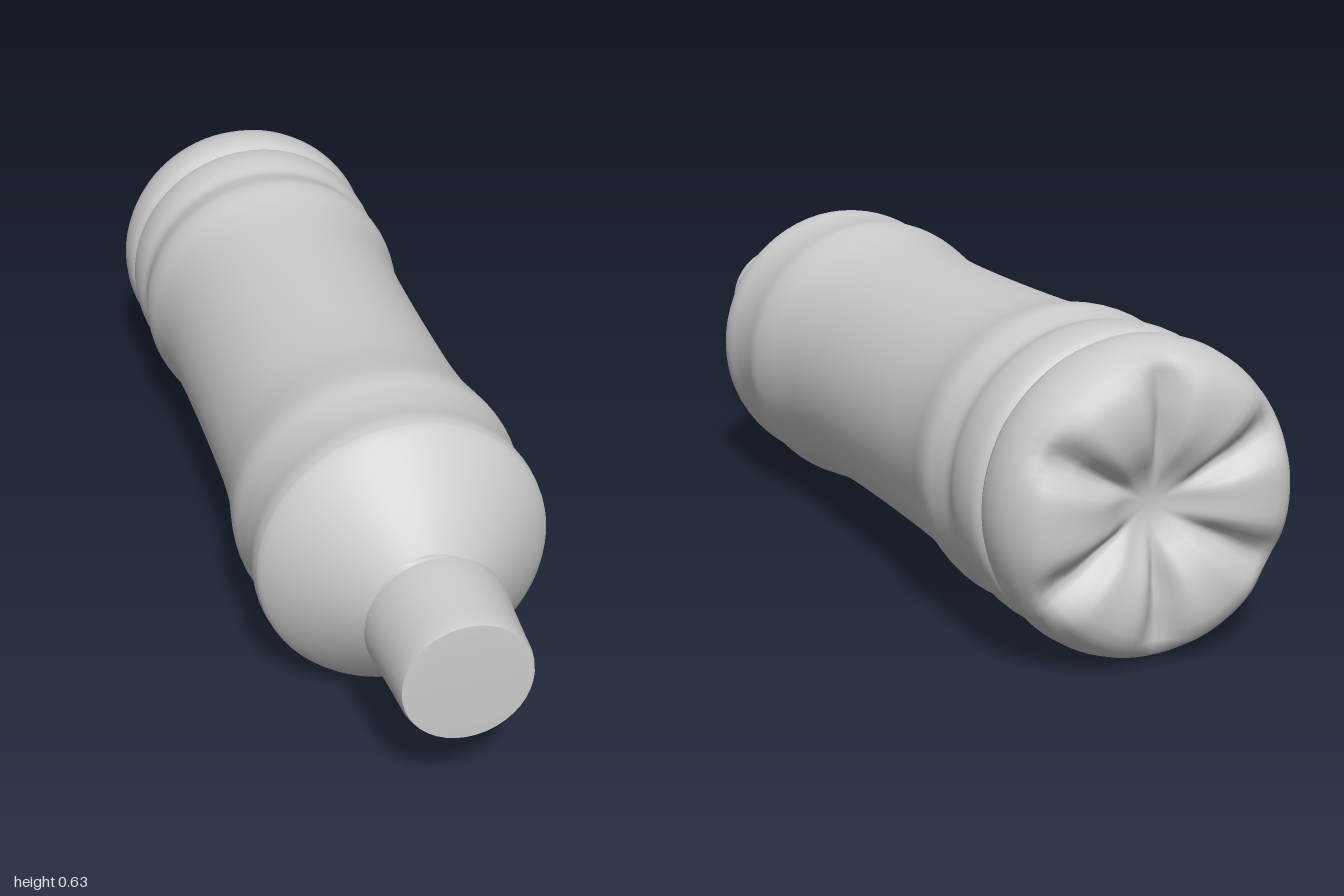
import * as THREE from 'three';
import { mergeVertices } from 'three/addons/utils/BufferGeometryUtils.js';

const AXIS_Y = 0.315;
const material = new THREE.MeshStandardMaterial({ color: 0xcccccc, side: THREE.DoubleSide });

// Surface of revolution about z from [radius, z] pairs, optionally reshaped per vertex
function turned(name, profile, segments, reshape, start = 0, sweep = Math.PI * 2) {
  const points = profile.map(([r, z]) => new THREE.Vector2(r, z));
  let geometry = new THREE.LatheGeometry(points, segments, start, sweep);
  geometry.rotateX(Math.PI / 2);
  geometry.deleteAttribute('uv');
  geometry.deleteAttribute('normal');
  geometry = mergeVertices(geometry, 1e-5);
  if (reshape) {
    const p = geometry.attributes.position;
    const v = new THREE.Vector3();
    for (let i = 0; i < p.count; i++) {
      v.fromBufferAttribute(p, i);
      reshape(v);
      p.setXYZ(i, v.x, v.y, v.z);
    }
  }
  geometry.computeVertexNormals();
  const mesh = new THREE.Mesh(geometry, material);
  mesh.name = name;
  mesh.position.y = AXIS_Y;
  return mesh;
}

export function createModel() {
  const group = new THREE.Group();
  group.name = 'bottle';

  // Body: waisted grip between two ribbed bands, then the tapering shoulder
  const bodyCurve = new THREE.SplineCurve([
    [0.293, -0.82], [0.307, -0.8], [0.312, -0.76], [0.309, -0.72], [0.299, -0.68],
    [0.305, -0.64], [0.312, -0.6], [0.309, -0.56], [0.298, -0.5], [0.289, -0.4],
    [0.284, -0.2], [0.283, 0], [0.285, 0.12], [0.292, 0.22], [0.304, 0.3],
    [0.311, 0.36], [0.305, 0.42], [0.304, 0.48], [0.309, 0.53], [0.306, 0.56],
  ].map(([r, z]) => new THREE.Vector2(r, z)));
  const body = bodyCurve.getPoints(76).map((p) => [p.x, p.y]);
  const shoulder = [[0.298, 0.575], [0.272, 0.605], [0.235, 0.64], [0.19, 0.68], [0.145, 0.715], [0.115, 0.735]];
  group.add(turned('body', [...body, ...shoulder], 64));

  // Base: rounded foot with lobes separated by radial creases around a recessed centre
  group.add(turned('base', [
    [0, -0.93], [0.03, -0.932], [0.06, -0.94], [0.09, -0.96], [0.12, -0.98], [0.15, -0.992],
    [0.18, -0.998], [0.21, -1], [0.24, -0.997], [0.265, -0.988], [0.285, -0.97],
    [0.302, -0.94], [0.311, -0.91], [0.314, -0.88], [0.311, -0.85], [0.305, -0.835], [0.293, -0.82],
  ], 84, (v) => {
    const r = Math.hypot(v.x, v.y);
    const crease = Math.pow(0.5 - 0.5 * Math.cos(6 * Math.atan2(v.y, v.x)), 4);
    const ring = THREE.MathUtils.smoothstep(r, 0.05, 0.15) * (1 - THREE.MathUtils.smoothstep(r, 0.24, 0.312));
    v.z += 0.045 * crease * ring;
  }));

  // Neck: broken sleeve, longest on the right and ragged along its front rim
  group.add(turned('neck', [[0.115, 0.735], [0.108, 0.75], [0.107, 0.77], [0.107, 0.8]], 40, (v) => {
    const angle = Math.atan2(v.y, v.x);
    const away = Math.abs(Math.atan2(Math.sin(angle - 2.9), Math.cos(angle - 2.9)));
    const reach = 1 - 0.85 * THREE.MathUtils.smoothstep(away, 0.7, 1.1);
    v.z = 0.735 + (v.z - 0.735) * reach * (1 - 0.12 * Math.abs(Math.sin(angle * 7)));
  }));

  // Cap: tapered sleeve, open at the rear; the face is separate so its rim stays crisp
  const sleeve = turned('capSleeve', [
    [0.146, 0.797], [0.146, 0.82], [0.142, 0.86], [0.139, 0.9], [0.136, 0.95], [0.134, 0.985], [0.13, 0.998],
  ], 40);
  const face = turned('capFace', [[0.13, 0.998], [0.1, 1], [0, 1]], 40);
  const cap = new THREE.Group();
  cap.name = 'cap';
  cap.position.set(-0.004, 0.004, 0);
  cap.add(sleeve, face);
  group.add(cap);

  return group;
}
